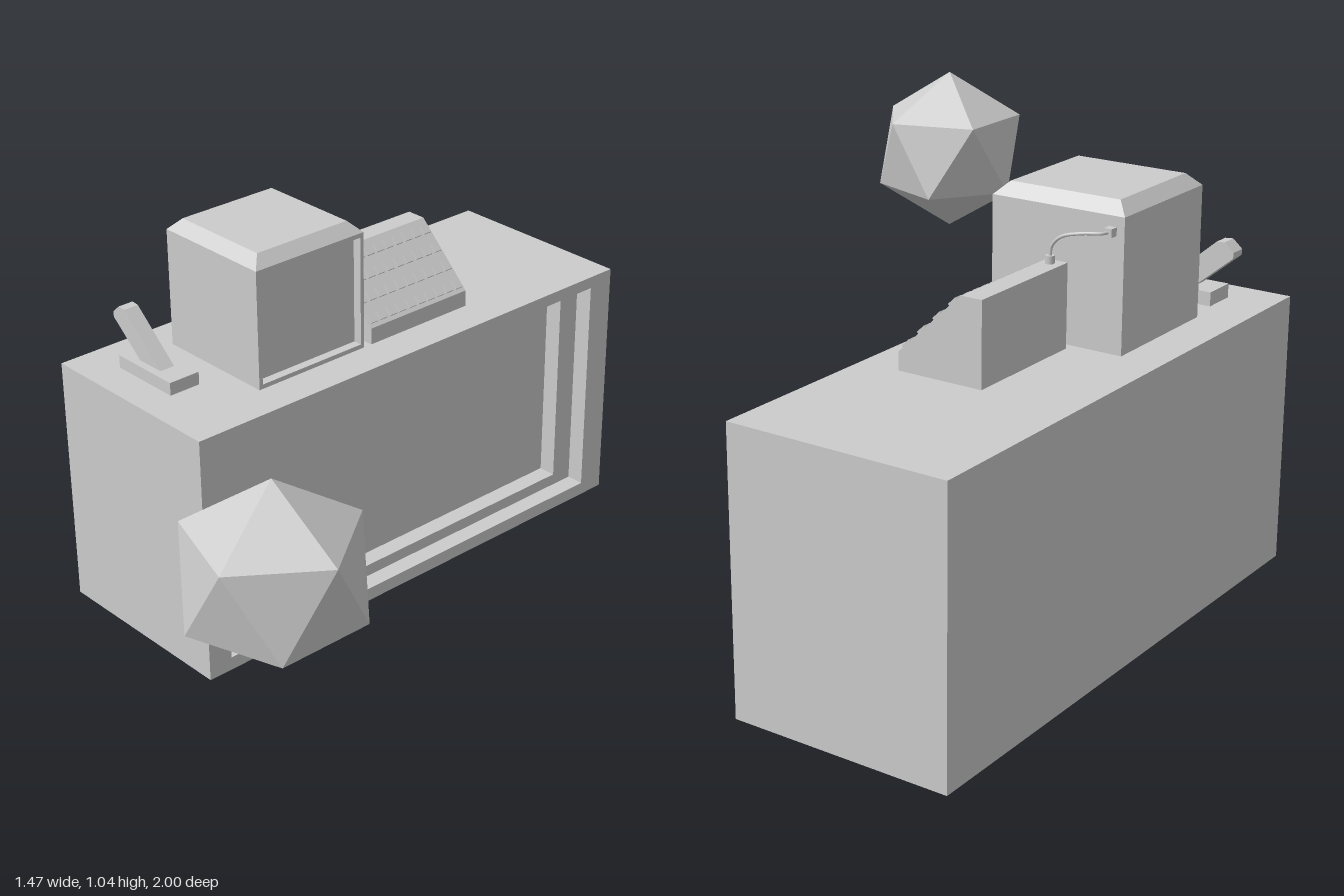
import * as THREE from 'three';
import { mergeGeometries } from 'three/addons/utils/BufferGeometryUtils.js';

const grey = new THREE.MeshStandardMaterial({ color: 0xcccccc, flatShading: true });
const smooth = new THREE.MeshStandardMaterial({ color: 0xcccccc });

function add(parent, name, geometry, material = grey) {
  const mesh = new THREE.Mesh(geometry, material);
  mesh.name = name;
  parent.add(mesh);
  return mesh;
}

// Box given by its limits
function boxBetween(x0, x1, y0, y1, z0, z1) {
  return new THREE.BoxGeometry(x1 - x0, y1 - y0, z1 - z0)
    .translate((x0 + x1) / 2, (y0 + y1) / 2, (z0 + z1) / 2);
}

// Rectangular frame facing +x; outer and hole are [y0, y1, z0, z1]
function frameX(x0, x1, outer, hole) {
  const corners = ([y0, y1, z0, z1]) =>
    [[-z1, y0], [-z0, y0], [-z0, y1], [-z1, y1]].map(p => new THREE.Vector2(...p));
  const shape = new THREE.Shape(corners(outer));
  shape.holes.push(new THREE.Path(corners(hole)));
  return new THREE.ExtrudeGeometry(shape, { depth: x1 - x0, bevelEnabled: false })
    .rotateY(Math.PI / 2).translate(x0, 0, 0);
}

// Side profile in x and y, extruded from z0 to z1
function profile(points, z0, z1) {
  const shape = new THREE.Shape(points.map(p => new THREE.Vector2(...p)));
  return new THREE.ExtrudeGeometry(shape, { depth: z1 - z0, bevelEnabled: false }).translate(0, 0, z0);
}

function createCounter() {
  const group = new THREE.Group();
  group.name = 'counter';
  const outer = [0, 0.69, -1, 0.45];
  add(group, 'counterBody', boxBetween(-0.735, -0.275, 0, 0.69, -1, 0.45));
  // Two stepped frames form the recessed panel
  add(group, 'innerPanelFrame', frameX(-0.275, -0.225, outer, [0.07, 0.623, -0.856, 0.312]));
  add(group, 'outerPanelFrame', frameX(-0.225, -0.175, outer, [0.037, 0.657, -0.922, 0.38]));
  return group;
}

function createMonitor() {
  const group = new THREE.Group();
  group.name = 'monitor';
  add(group, 'monitorBody', boxBetween(-0.63, -0.305, 0.69, 1.012, -0.175, 0.175));
  add(group, 'screenFrame',
    frameX(-0.305, -0.28, [0.69, 1.012, -0.175, 0.175], [0.702, 1.0, -0.164, 0.164]));
  // Tapered lid
  const lid = new THREE.BoxGeometry(0.35, 0.03, 0.35);
  const p = lid.attributes.position;
  for (let i = 0; i < p.count; i++) {
    if (p.getY(i) > 0) p.setXYZ(i, p.getX(i) * 0.83, p.getY(i), p.getZ(i) * 0.83);
  }
  lid.computeVertexNormals();
  add(group, 'monitorLid', lid.translate(-0.455, 1.027, 0));
  return group;
}

function createKeyboard() {
  const group = new THREE.Group();
  group.name = 'keyboard';
  const top = new THREE.Vector2(-0.445, 0.893), low = new THREE.Vector2(-0.28, 0.735);
  add(group, 'keyboardWedge', profile(
    [[-0.5, 0.69], [-0.28, 0.69], [low.x, low.y], [top.x, top.y], [-0.5, 0.893]], -0.54, -0.2));
  // Four rows of keys along the slope
  const angle = Math.atan2(low.y - top.y, low.x - top.x);
  const keys = [];
  for (let row = 0; row < 4; row++) {
    const at = top.clone().lerp(low, 0.14 + row * 0.25);
    for (let col = 0; col < 10; col++) {
      keys.push(new THREE.BoxGeometry(0.026, 0.012, 0.024)
        .rotateZ(angle).translate(at.x, at.y, -0.523 + col * 0.034));
    }
  }
  add(group, 'keys', mergeGeometries(keys));
  return group;
}

function createCable() {
  const group = new THREE.Group();
  group.name = 'cable';
  add(group, 'monitorPlug', boxBetween(-0.61, -0.59, 0.967, 0.987, -0.197, -0.175));
  add(group, 'keyboardPlug',
    new THREE.CylinderGeometry(0.011, 0.011, 0.02, 12).translate(-0.47, 0.902, -0.227), smooth);
  const path = new THREE.CatmullRomCurve3([
    [-0.6, 0.977, -0.192], [-0.59, 0.977, -0.21], [-0.55, 0.974, -0.224],
    [-0.5, 0.96, -0.229], [-0.475, 0.935, -0.228], [-0.47, 0.905, -0.227],
  ].map(p => new THREE.Vector3(...p)));
  add(group, 'cord', new THREE.TubeGeometry(path, 32, 0.004, 8), smooth);
  return group;
}

function createHandset() {
  const group = new THREE.Group();
  group.name = 'handset';
  add(group, 'handsetBase', boxBetween(-0.615, -0.407, 0.69, 0.725, 0.265, 0.355));
  // Slanted bar with a chamfered end
  add(group, 'handsetBar', profile([
    [-0.527, 0.7], [-0.445, 0.7], [-0.612, 0.845], [-0.634, 0.847], [-0.659, 0.825], [-0.658, 0.81],
  ], 0.29, 0.333));
  return group;
}

export function createModel() {
  const model = new THREE.Group();
  model.name = 'counterWithFloatingSolid';
  model.add(createCounter(), createMonitor(), createKeyboard(), createCable(), createHandset());
  // Twenty-sided solid standing on a point, one upper corner towards +x
  const golden = (1 + Math.sqrt(5)) / 2;
  const solid = new THREE.IcosahedronGeometry(0.223, 0).rotateZ(-Math.atan(1 / golden));
  add(model, 'floatingSolid', solid).position.set(0.532, 0.808, 0.81);
  return model;
}
